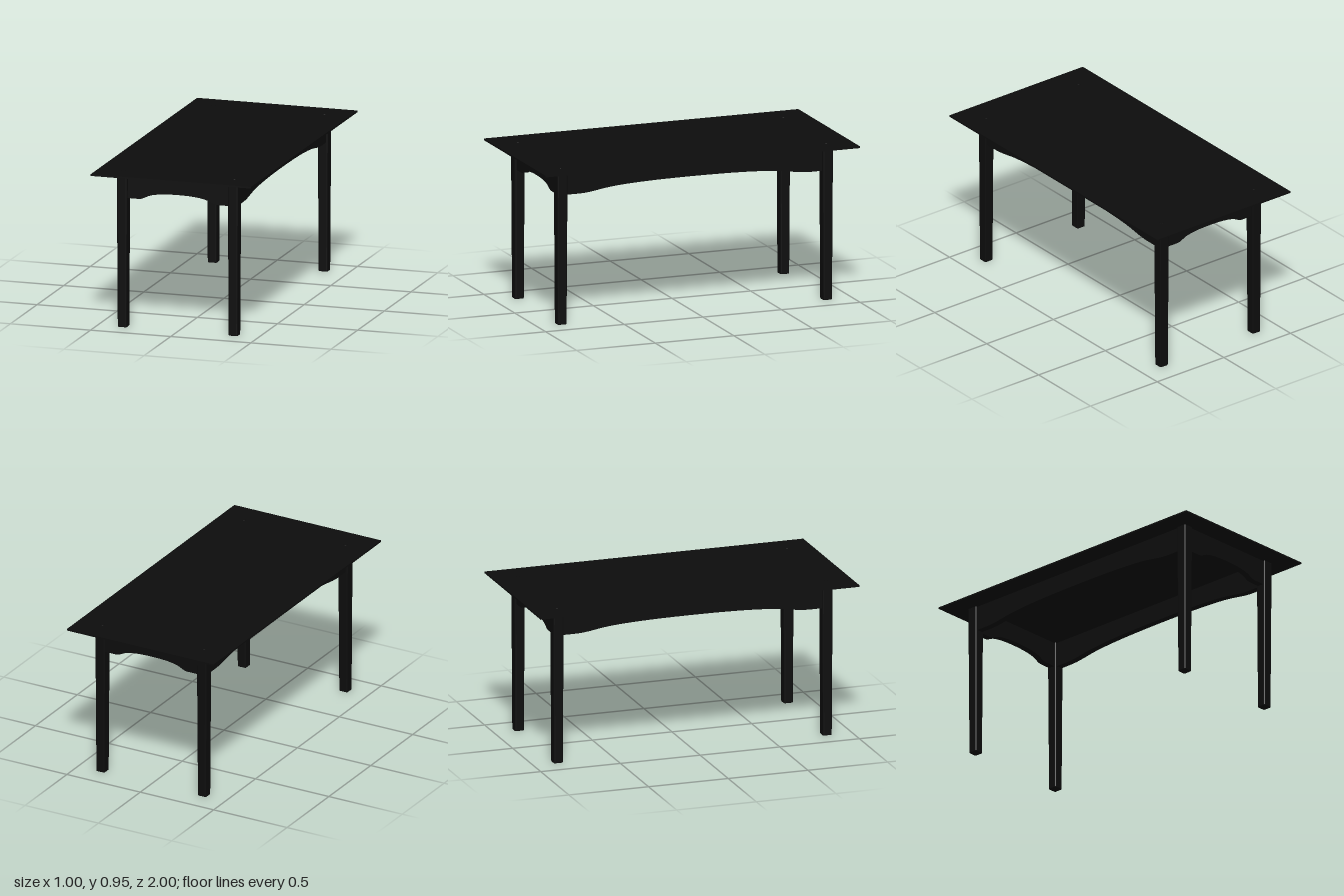
import * as THREE from 'three';

const material = new THREE.MeshStandardMaterial({ color: 0x0d0d0d });
const LEG_X = 0.346, LEG_Z = 0.844, TOP_Y = 0.94;

// Arched board spanning between two legs, centred on the z = 0 plane
function apronGeometry(half, arch, thickness) {
  const low = 0.788, crown = 0.83;
  const s = new THREE.Shape();
  s.moveTo(-half, TOP_Y);
  s.lineTo(-half, low);
  s.lineTo(-arch, low);
  s.bezierCurveTo(-arch * 0.88, low, -arch * 0.82, 0.807, -arch * 0.67, 0.816);
  s.bezierCurveTo(-arch * 0.49, 0.827, -arch * 0.25, crown, 0, crown);
  s.bezierCurveTo(arch * 0.25, crown, arch * 0.49, 0.827, arch * 0.67, 0.816);
  s.bezierCurveTo(arch * 0.82, 0.807, arch * 0.88, low, arch, low);
  s.lineTo(half, low);
  s.lineTo(half, TOP_Y);
  s.closePath();
  const g = new THREE.ExtrudeGeometry(s, { depth: thickness, bevelEnabled: false, curveSegments: 12 });
  return g.translate(0, 0, -thickness / 2);
}

// Square leg with eased corners, narrowing slightly towards the floor
function legGeometry() {
  const h = 0.0335, c = 0.006, b = 0.004;
  const w = h - b;
  const s = new THREE.Shape();
  s.moveTo(-w + c, -w);
  s.lineTo(w - c, -w);
  s.quadraticCurveTo(w, -w, w, -w + c);
  s.lineTo(w, w - c);
  s.quadraticCurveTo(w, w, w - c, w);
  s.lineTo(-w + c, w);
  s.quadraticCurveTo(-w, w, -w, w - c);
  s.lineTo(-w, -w + c);
  s.quadraticCurveTo(-w, -w, -w + c, -w);
  const g = new THREE.ExtrudeGeometry(s, {
    depth: TOP_Y - 2 * b, bevelThickness: b, bevelSize: b, bevelSegments: 2, curveSegments: 3,
  });
  g.rotateX(-Math.PI / 2).translate(0, b, 0);
  const p = g.attributes.position;
  for (let i = 0; i < p.count; i++) {
    const k = 0.85 + 0.15 * p.getY(i) / TOP_Y;
    p.setX(i, p.getX(i) * k);
    p.setZ(i, p.getZ(i) * k);
  }
  g.computeVertexNormals();
  return g;
}

export function createModel() {
  const table = new THREE.Group();
  table.name = 'table';
  const add = (name, geometry, x = 0, y = 0, z = 0, turn = 0) => {
    const mesh = new THREE.Mesh(geometry, material);
    mesh.name = name;
    mesh.position.set(x, y, z);
    mesh.rotation.y = turn;
    table.add(mesh);
  };

  // Thin table top
  add('tableTop', new THREE.BoxGeometry(1, 0.01, 2), 0, 0.945, 0);

  // Four legs, each with a low round plug showing through the top
  const leg = legGeometry();
  const plug = new THREE.CylinderGeometry(0.011, 0.015, 0.016, 20);
  for (const sx of [-1, 1]) {
    for (const sz of [-1, 1]) {
      const name = (sz > 0 ? 'front' : 'back') + (sx > 0 ? 'Left' : 'Right');
      add(name + 'Leg', leg, sx * LEG_X, 0, sz * LEG_Z);
      add(name + 'Plug', plug, sx * LEG_X, 0.944, sz * LEG_Z);
    }
  }

  // Arched aprons on the short ends and the long sides
  const endApron = apronGeometry(0.315, 0.245, 0.04);
  const sideApron = apronGeometry(0.813, 0.74, 0.04);
  add('frontApron', endApron, 0, 0, LEG_Z);
  add('backApron', endApron, 0, 0, -LEG_Z);
  add('leftApron', sideApron, LEG_X, 0, 0, Math.PI / 2);
  add('rightApron', sideApron, -LEG_X, 0, 0, Math.PI / 2);

  return table;
}
